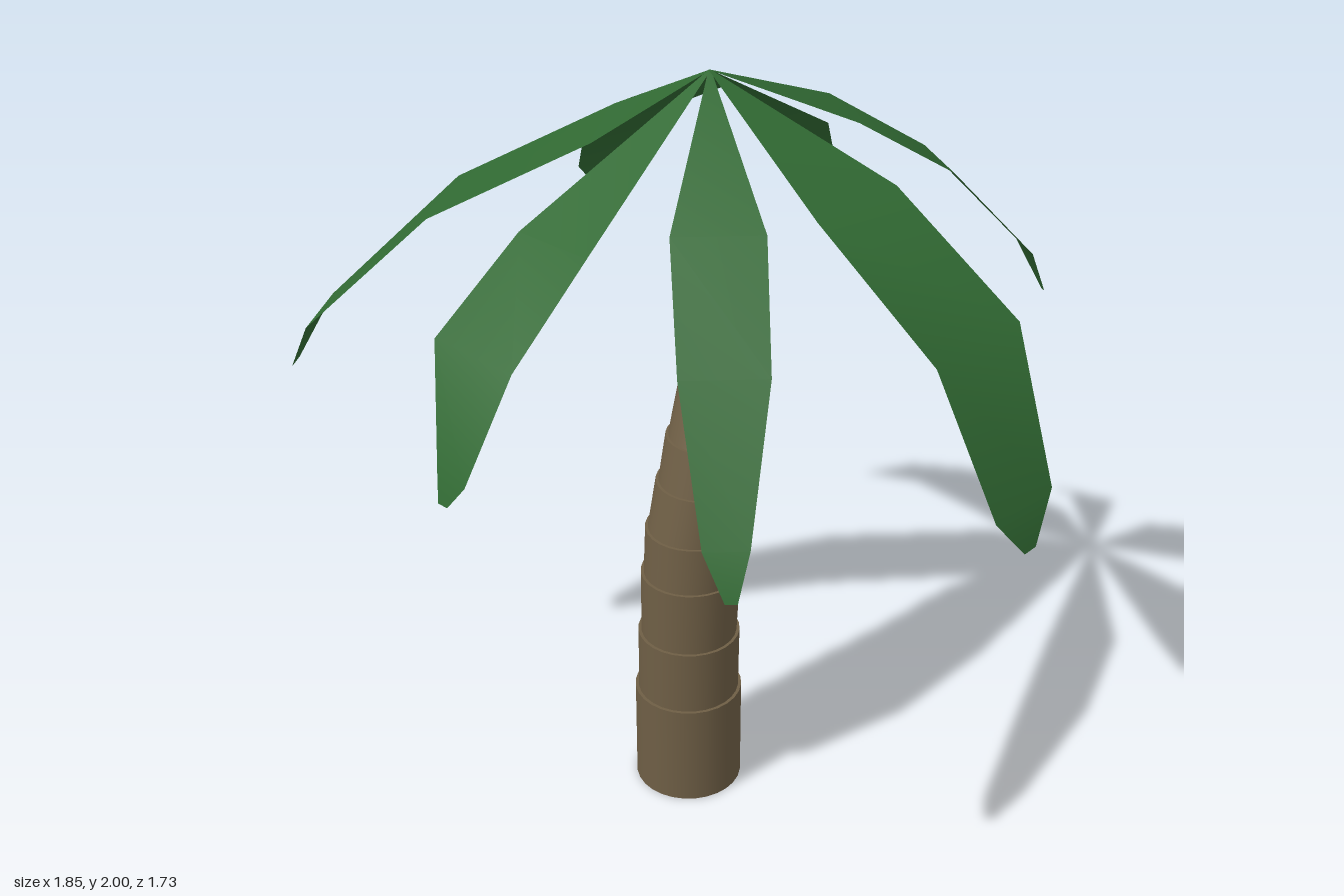
import * as THREE from 'three';

const bark = new THREE.MeshStandardMaterial({ color: 0x6e5e45 });
bark.name = 'bark brown';
const green = new THREE.MeshStandardMaterial({ color: 0x316a33, side: THREE.DoubleSide });
green.name = 'frond green';

// Trunk joints from the ground up: x, y, z, radius
const joints = [
  [-0.03, 0, 0, 0.143], [-0.03, 0.29, 0, 0.143], [-0.028, 0.47, 0, 0.135],
  [-0.022, 0.65, -0.003, 0.131], [-0.01, 0.78, -0.01, 0.127], [0.02, 0.91, -0.02, 0.123],
  [0.047, 1.03, -0.035, 0.117], [0.085, 1.16, -0.065, 0.108], [0.098, 1.25, -0.078, 0.1],
  [0.099, 1.36, -0.08, 0.09], [0.097, 1.475, -0.075, 0.085], [0.08, 1.56, -0.065, 0.074],
  [0.06, 1.65, -0.052, 0.058], [0.045, 1.74, -0.042, 0.045], [0.037, 1.82, -0.032, 0.034],
  [0.033, 1.9, -0.022, 0.022], [0.03, 1.995, -0.012, 0.004],
];

// Each frond: stations along its midline as x, y, z, half width
const crown = [0.03, 2, -0.01, 0.003];
const fronds = [
  [[0.36, 1.875, 0.015, 0.105], [0.61, 1.72, 0.035, 0.095], [0.855, 1.46, 0.06, 0.05], [0.92, 1.33, 0.06, 0.01]],
  [[0.043, 1.86, -0.265, 0.118], [0.05, 1.665, -0.675, 0.111], [0.048, 1.46, -0.845, 0.084], [0.065, 1.36, -0.865, 0.025]],
  [[-0.19, 1.86, -0.13, 0.134], [-0.535, 1.64, -0.345, 0.138], [-0.838, 1.32, -0.49, 0.102], [-0.912, 1.19, -0.487, 0.028]],
  [[-0.425, 1.73, 0.217, 0.108], [-0.645, 1.55, 0.327, 0.125], [-0.727, 1.29, 0.395, 0.045], [-0.748, 1.23, 0.39, 0.015]],
  [[-0.1, 1.77, 0.385, 0.106], [-0.162, 1.53, 0.585, 0.101], [-0.23, 1.225, 0.775, 0.052], [-0.235, 1.12, 0.82, 0.014]],
  [[0.232, 1.795, 0.38, 0.141], [0.388, 1.565, 0.69, 0.154], [0.465, 1.21, 0.812, 0.109], [0.48, 1.1, 0.83, 0.022]],
  [[0.415, 1.71, -0.365, 0.078], [0.552, 1.46, -0.5, 0.045], [0.57, 1.41, -0.513, 0.012]],
];

// One overlapping bark ring, sheared so that both ends stay level
function trunkRing(a, b, bottomRadius) {
  const height = b[1] - a[1];
  const geo = new THREE.CylinderGeometry(b[3], bottomRadius, height, 28);
  const shear = new THREE.Matrix4().makeShear(0, 0, (b[0] - a[0]) / height, (b[2] - a[2]) / height, 0, 0);
  geo.applyMatrix4(shear);
  geo.translate((a[0] + b[0]) / 2, (a[1] + b[1]) / 2, (a[2] + b[2]) / 2);
  return new THREE.Mesh(geo, bark);
}

// A smooth drooping blade made of level cross-sections
function frondBlade(stations) {
  const rows = [crown, ...stations];
  const far = rows[2];
  const length = Math.hypot(far[0] - crown[0], far[2] - crown[2]);
  const sx = (far[2] - crown[2]) / length;
  const sz = -(far[0] - crown[0]) / length;
  const positions = [], index = [];
  rows.forEach(([x, y, z, w], i) => {
    positions.push(x + sx * w, y, z + sz * w, x - sx * w, y, z - sz * w);
    if (i > 0) {
      const k = i * 2;
      index.push(k - 2, k - 1, k, k - 1, k + 1, k);
    }
  });
  const geo = new THREE.BufferGeometry();
  geo.setAttribute('position', new THREE.Float32BufferAttribute(positions, 3));
  geo.setIndex(index);
  geo.computeVertexNormals();
  return new THREE.Mesh(geo, green);
}

export function createModel() {
  const model = new THREE.Group();
  model.name = 'palmTree';

  const trunk = new THREE.Group();
  trunk.name = 'trunk';
  for (let i = 1; i < joints.length; i++) {
    const bottom = i === 1 ? joints[0][3] : joints[i - 1][3] * 0.94;
    const ring = trunkRing(joints[i - 1], joints[i], bottom);
    ring.name = `trunkRing${i}`;
    trunk.add(ring);
  }

  const leaves = new THREE.Group();
  leaves.name = 'fronds';
  fronds.forEach((stations, i) => {
    const blade = frondBlade(stations);
    blade.name = `frond${i + 1}`;
    leaves.add(blade);
  });

  model.add(trunk, leaves);
  return model;
}
